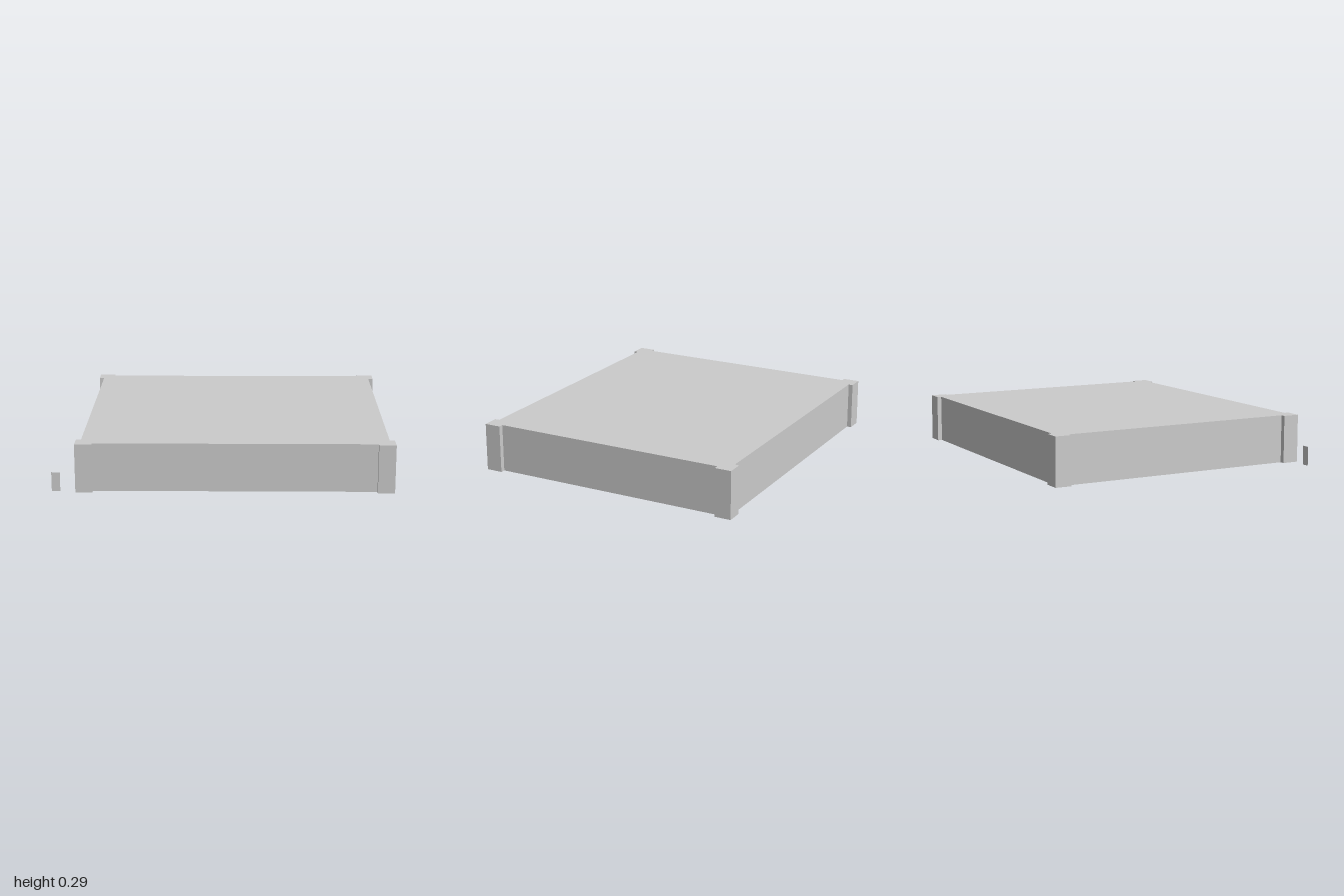
import * as THREE from 'three';

const HEIGHT = 0.29;
const CENTER_X = 0.07; // the slab sits off-centre because of the separate tab

export function createModel() {
  const model = new THREE.Group();
  const material = new THREE.MeshStandardMaterial({ color: 0xcccccc, flatShading: true });

  function addBox(name, w, h, d, x, z) {
    const mesh = new THREE.Mesh(new THREE.BoxGeometry(w, h, d), material);
    mesh.name = name;
    mesh.position.set(x, h / 2, z);
    model.add(mesh);
  }

  // Main slab
  addBox('slab', 1.8, HEIGHT, 1.59, CENTER_X, 0);

  // Corner posts, flush with the slab's top and standing slightly proud of its sides
  for (const sx of [-1, 1]) {
    for (const sz of [-1, 1]) {
      const name = (sz > 0 ? 'front' : 'back') + (sx > 0 ? 'Left' : 'Right') + 'Post';
      addBox(name, 0.1, HEIGHT, 0.1, CENTER_X + sx * 0.88, sz * 0.772);
    }
  }

  // Thin upright tab standing free beside the front right corner
  const tabMaterial = material.clone();
  tabMaterial.side = THREE.DoubleSide;
  const tab = new THREE.Mesh(new THREE.PlaneGeometry(0.05, 0.115), tabMaterial);
  tab.name = 'tab';
  tab.position.set(-0.975, 0.0575, 0.8);
  model.add(tab);

  return model;
}
